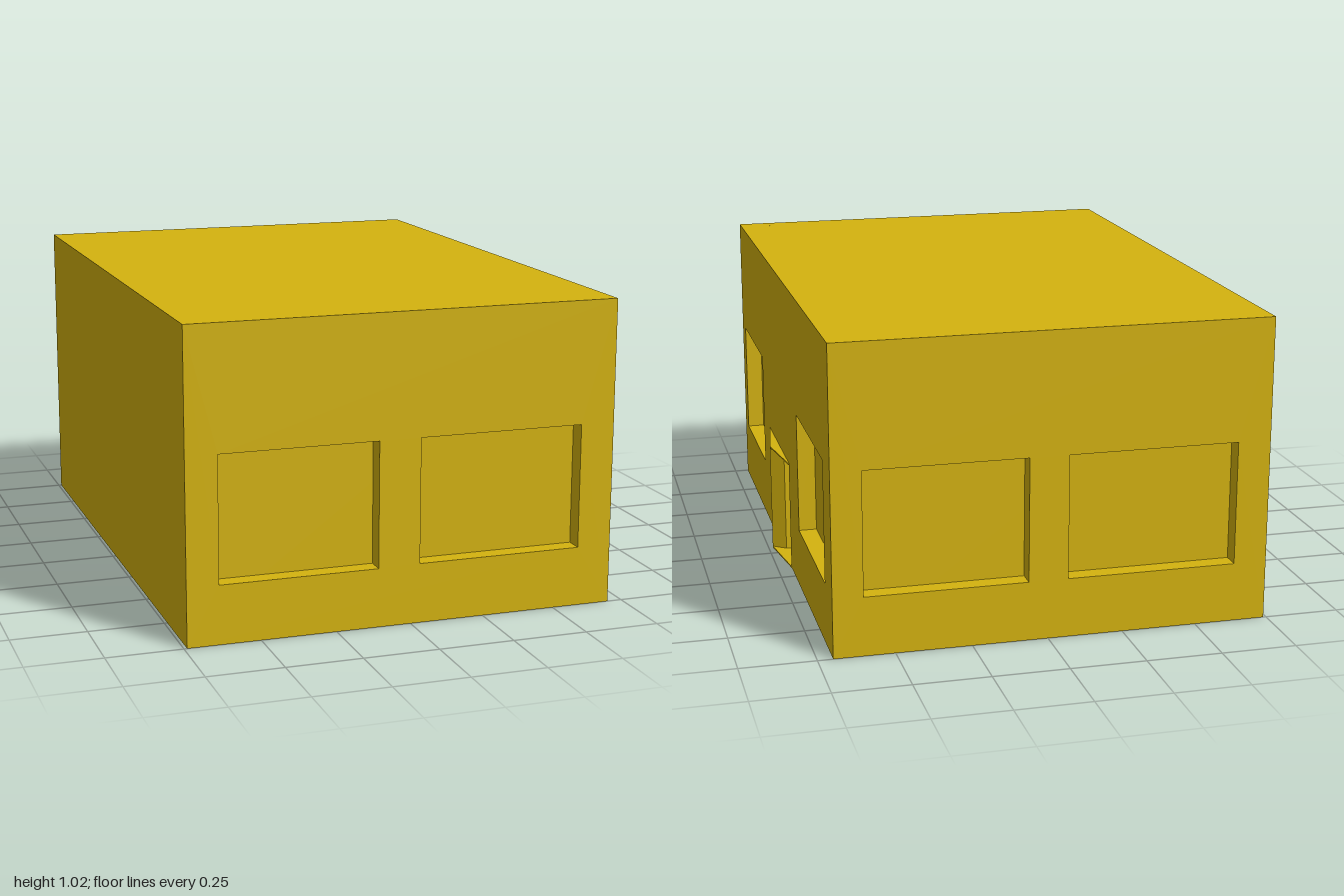
import * as THREE from 'three';

const HEIGHT = 1.02, DEPTH = 0.06;      // building height, depth of the recesses
const X0 = -0.74, X1 = 0.70, Z = 1;     // outer faces of the building
const DOOR_TOP = 0.385, SLAB = 0.005;   // entrance height, canopy and threshold thickness

const material = new THREE.MeshStandardMaterial({ color: 0xd4b30f, flatShading: true });

function rect(Type, u0, u1, v0, v1) {
  return new Type([[u0, v0], [u1, v0], [u1, v1], [u0, v1]].map(p => new THREE.Vector2(...p)));
}

// Wall slab with rectangular openings, each given as [u0, u1, v0, v1]
function wallGeometry(u0, u1, openings) {
  const shape = rect(THREE.Shape, u0, u1, 0, HEIGHT);
  shape.holes = openings.map(o => rect(THREE.Path, ...o));
  return new THREE.ExtrudeGeometry(shape, { depth: DEPTH, bevelEnabled: false });
}

// Vertical prism over a plan outline of [x, z] corners
function prism(plan, y0, y1) {
  const shape = new THREE.Shape(plan.map(([x, z]) => new THREE.Vector2(x, -z)));
  return new THREE.ExtrudeGeometry(shape, { depth: y1 - y0, bevelEnabled: false })
    .rotateX(-Math.PI / 2).translate(0, y0, 0);
}

function box(x0, x1, y0, y1, z0, z1) {
  return new THREE.BoxGeometry(x1 - x0, y1 - y0, z1 - z0)
    .translate((x0 + x1) / 2, (y0 + y1) / 2, (z0 + z1) / 2);
}

export function createModel() {
  const group = new THREE.Group();
  const add = (name, geometry) => {
    const mesh = new THREE.Mesh(geometry, material);
    mesh.name = name;
    group.add(mesh);
  };

  // Solid core, whose faces close the backs of the window recesses
  const inner = Z - DEPTH;
  add('buildingCore', box(X0, X1 - DEPTH, 0, HEIGHT, -inner, inner));

  // Front and back walls with two windows each
  add('frontWall', wallGeometry(X0, X1, [
    [-0.635, -0.11, 0.195, 0.612],
    [0.03, 0.585, 0.198, 0.612],
  ]).translate(0, 0, inner));
  add('backWall', wallGeometry(-X1, -X0, [
    [-0.60, -0.065, 0.198, 0.612],
    [0.066, 0.63, 0.198, 0.612],
  ]).rotateY(Math.PI).translate(0, 0, -inner));

  // Entrance wall: a window on either side of the doorway
  add('entranceWall', wallGeometry(-inner, inner, [
    [-0.925, -0.45, 0.21, 0.615],
    [0.355, 0.87, 0.205, 0.615],
    [-0.27, 0.155, SLAB, DOOR_TOP - SLAB],
  ]).rotateY(Math.PI / 2).translate(X1 - DEPTH, 0, 0));

  // Two door panels, with a pointed post between them
  for (const [z0, z1] of [[0.105, 0.27], [-0.155, 0.025]]) {
    add('doorPanel', box(X1 - DEPTH, 0.66, SLAB, DOOR_TOP - SLAB, z0, z1));
  }
  add('doorPost', prism(
    [[0.64, 0.105], [0.70, 0.105], [0.735, 0.06], [0.69, 0.025], [0.64, 0.025]],
    SLAB, DOOR_TOP - SLAB));

  // Triangular canopy and threshold
  const wedge = [[X1, 0.295], [0.735, 0.06], [X1, -0.175]];
  add('doorCanopy', prism(wedge, DOOR_TOP - SLAB, DOOR_TOP));
  add('doorThreshold', prism(wedge, 0, SLAB));

  return group;
}
